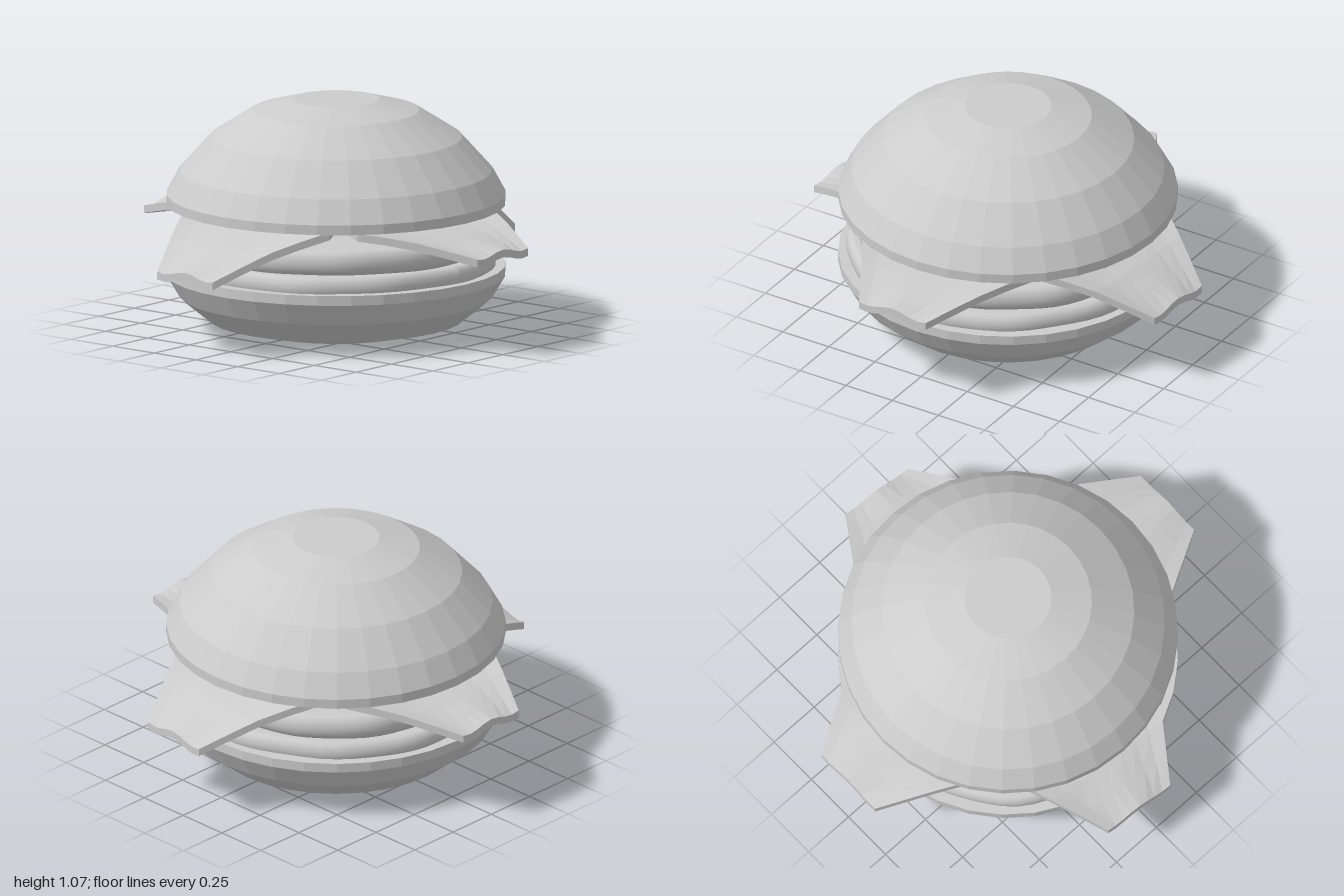
import * as THREE from 'three';

const flat = new THREE.MeshStandardMaterial({ color: 0xcccccc, flatShading: true });
const smooth = new THREE.MeshStandardMaterial({ color: 0xcccccc });

const vectors = (points) => points.map(([x, y]) => new THREE.Vector2(x, y));

function addMesh(parent, name, geometry, material) {
  const mesh = new THREE.Mesh(geometry, material);
  mesh.name = name;
  parent.add(mesh);
  return mesh;
}

// Faceted bun half turned from a profile listed bottom to top
function bun(profile) {
  return new THREE.LatheGeometry(vectors(profile), 32);
}

// Round slice with soft edges and a slightly uneven rim
function slice(radius, bottom, top, phase) {
  const r = (top - bottom) * 0.45;
  const profile = [[0, bottom]];
  for (let i = 0; i <= 10; i++) {
    const a = -Math.PI / 2 + (i / 10) * Math.PI;
    profile.push([radius - r * 0.8 + Math.cos(a) * r * 0.8, (bottom + top) / 2 + Math.sin(a) * (top - bottom) / 2]);
  }
  profile.push([0, top]);
  const geometry = new THREE.LatheGeometry(vectors(profile), 64);
  const p = geometry.attributes.position;
  for (let i = 0; i < p.count; i++) {
    const a = Math.atan2(p.getX(i), p.getZ(i));
    const k = 1 + 0.008 * Math.sin(5 * a + phase) + 0.006 * Math.sin(11 * a + 2 * phase);
    p.setX(i, p.getX(i) * k);
    p.setZ(i, p.getZ(i) * k);
  }
  geometry.computeVertexNormals();
  return geometry;
}

// Six-sided leaf, cupped in the middle and rippled at its tip
function leaf(length, heights) {
  const geometry = new THREE.BoxGeometry(2, 0.036, 1, 8, 1, 8);
  const p = geometry.attributes.position;
  for (let i = 0; i < p.count; i++) {
    const v = p.getX(i);
    const t = p.getZ(i) + 0.5;
    const halfWidth = 0.46 - 0.56 * Math.abs(t - 0.5);
    const s = t * (heights.length - 1);
    const k = Math.min(Math.floor(s), heights.length - 2);
    const base = THREE.MathUtils.lerp(heights[k], heights[k + 1], s - k);
    const cup = 0.035 * v * v * Math.sin(Math.PI * t);
    const ripple = -0.013 * t * t * (1 - Math.cos(1.3 * Math.PI * v));
    p.setXYZ(i, v * halfWidth, p.getY(i) + base + cup + ripple, 0.03 + t * (length - 0.03));
  }
  geometry.computeVertexNormals();
  return geometry;
}

export function createModel() {
  const group = new THREE.Group();
  group.name = 'burger';

  // Buns
  addMesh(group, 'bottomBun', bun([
    [0, 0], [0.39, 0], [0.585, 0.045], [0.72, 0.155], [0.78, 0.255], [0.78, 0.3], [0, 0.3],
  ]), flat);
  addMesh(group, 'topBun', bun([
    [0, 0.585], [0.78, 0.585], [0.78, 0.63], [0.72, 0.74], [0.58, 0.895], [0.385, 1.02], [0.2, 1.07], [0, 1.07],
  ]), flat);

  // Fillings
  addMesh(group, 'lowerSlice', slice(0.735, 0.27, 0.375, 0.6), smooth);
  addMesh(group, 'upperSlice', slice(0.69, 0.365, 0.487, 2.1), smooth);

  // Four leaves; the side pair hangs lower and sits a little askew
  const leaves = new THREE.Group();
  leaves.name = 'leaves';
  group.add(leaves);
  const shallow = leaf(1, [0.545, 0.54, 0.525, 0.505, 0.473]);
  const drooping = leaf(0.98, [0.55, 0.55, 0.53, 0.465, 0.375]);
  [['frontLeaf', shallow, 0], ['backLeaf', shallow, 180],
    ['leftLeaf', drooping, 85], ['rightLeaf', drooping, 265]].forEach(([name, geometry, degrees]) => {
    addMesh(leaves, name, geometry, flat).rotation.y = THREE.MathUtils.degToRad(degrees);
  });

  return group;
}
